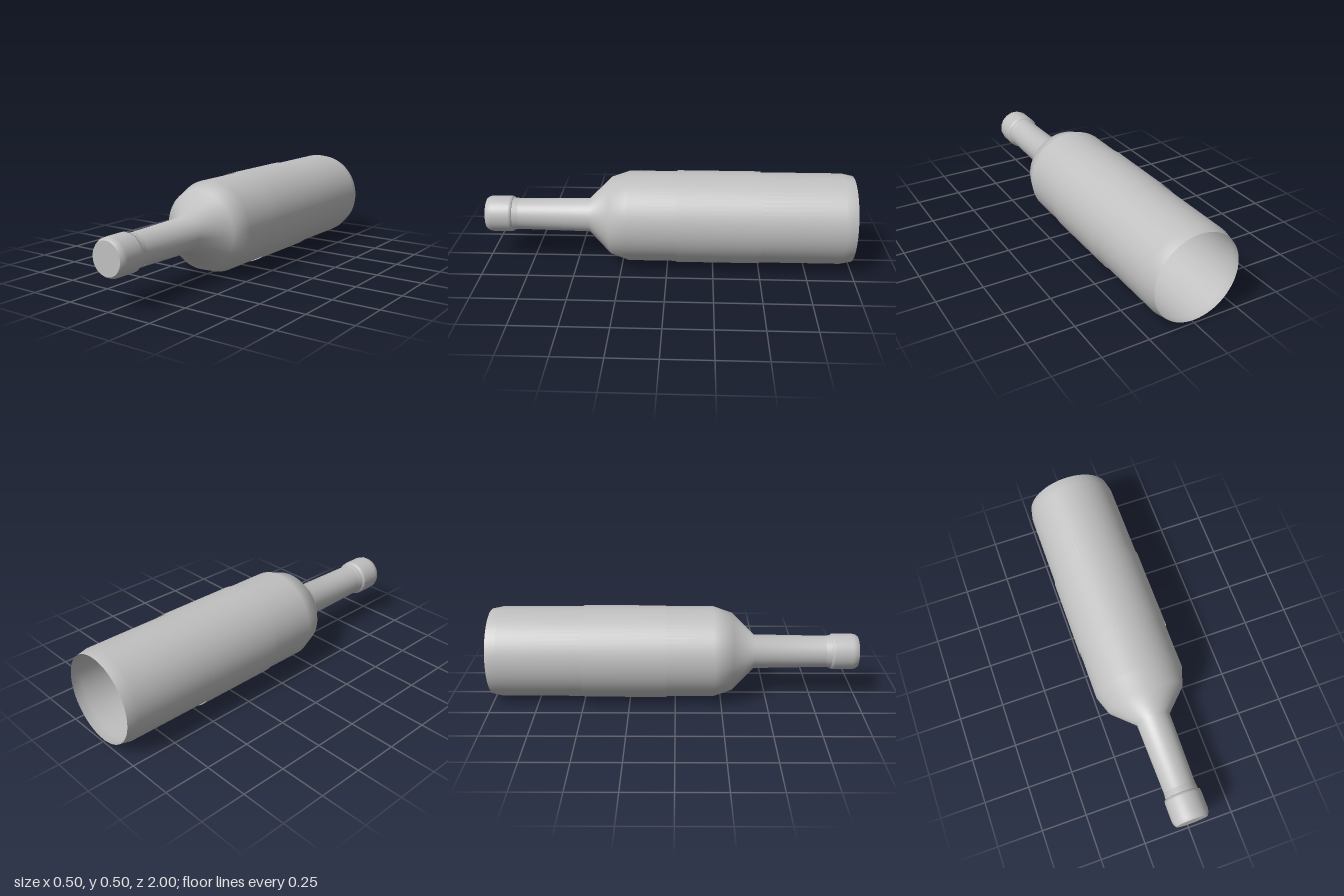
import * as THREE from 'three';

const AXIS_Y = 0.2525; // height of the bottle's axis as it lies on its side

export function createModel() {
  const model = new THREE.Group();
  model.name = 'bottle';
  const grey = new THREE.MeshStandardMaterial({ color: 0xc0c0c0, side: THREE.DoubleSide });
  grey.name = 'plain grey';

  const add = (name, geometry) => {
    const mesh = new THREE.Mesh(geometry, grey);
    mesh.name = name;
    model.add(mesh);
  };

  // Profiles are [radius, z] pairs, turned so the lathe axis runs along z
  const turned = (profile, sides) =>
    new THREE.LatheGeometry(profile.map(([r, z]) => new THREE.Vector2(r, z)), sides)
      .rotateX(Math.PI / 2);

  // Glass: open base, straight body, shoulder and tapering neck
  add('glassBody', turned([
    [0.235, -1], [0.2475, -0.94], [0.2475, 0.21], [0.213, 0.31],
    [0.093, 0.43], [0.086, 0.82],
  ], 64));

  // Thin label sleeve around the body
  add('label', turned([[0.2525, -0.5], [0.2525, -0.05]], 64));

  // Collar under the cap
  add('collar', turned([[0.086, 0.82], [0.091, 0.86]], 32));

  // Cap with sixteen shallow scallops round its side
  const cap = turned([
    [0.088, 0.852], [0.098, 0.857], [0.1, 0.87], [0.1, 0.965], [0.096, 0.985], [0.0855, 1],
  ], 64);
  const p = cap.attributes.position;
  for (let i = 0; i < p.count; i++) {
    const x = p.getX(i), y = p.getY(i), r = Math.hypot(x, y);
    if (r < 0.09) continue;
    const k = 1 - 0.012 * (1 + Math.cos(16 * Math.atan2(y, x)));
    p.setXY(i, x * k, y * k);
  }
  add('cap', cap);

  // Flat end of the cap
  add('capEnd', new THREE.CircleGeometry(0.0855, 64).translate(0, 0, 1));

  for (const part of model.children) part.position.y = AXIS_Y;
  return model;
}
